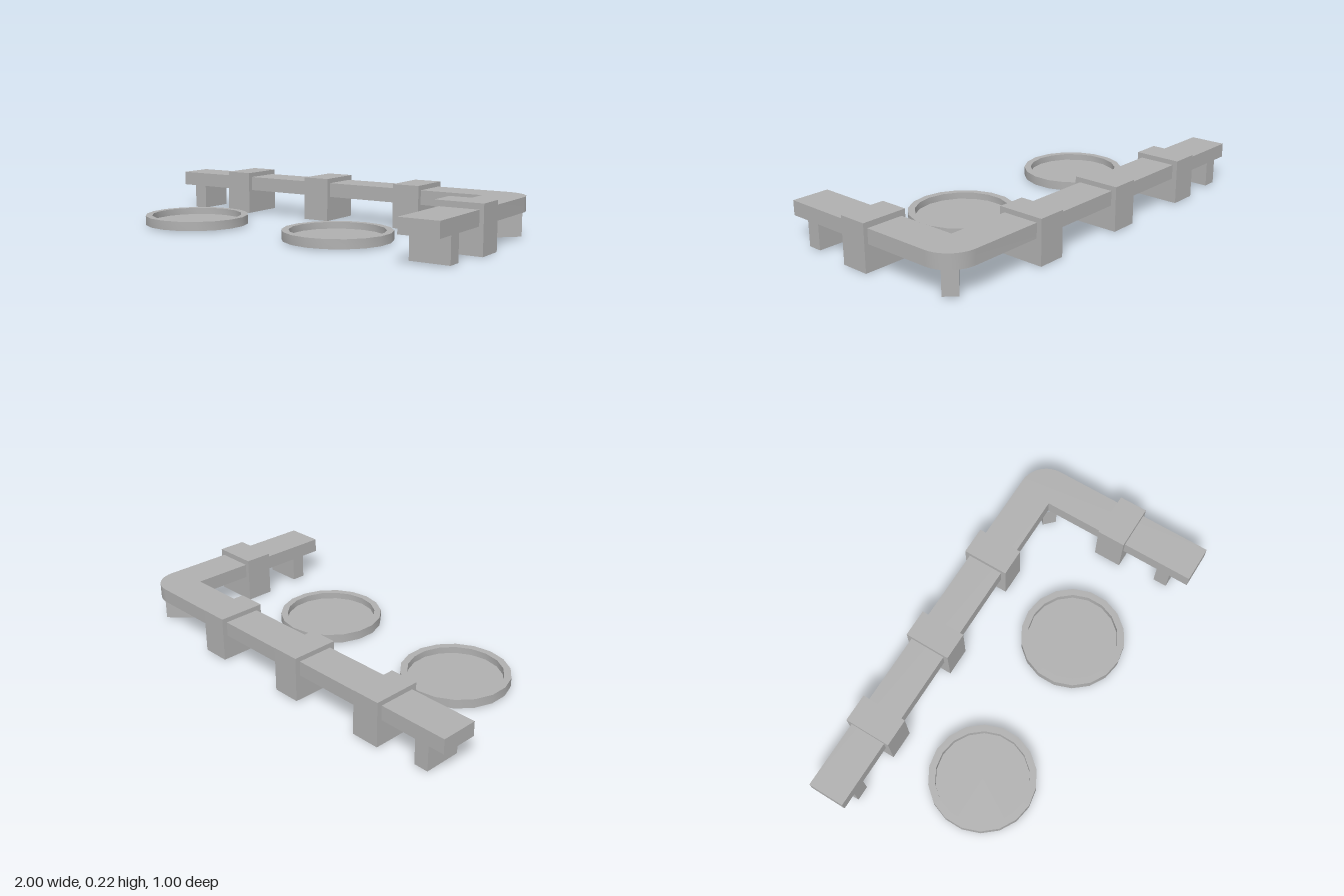
import * as THREE from 'three';
import { toCreasedNormals } from 'three/addons/utils/BufferGeometryUtils.js';

const grey = new THREE.MeshStandardMaterial({ color: 0xb0b0b0, side: THREE.DoubleSide });
grey.name = 'stone grey';

function createModel() {
  const model = new THREE.Group();
  const add = (name, geometry, x = 0, y = 0, z = 0) => {
    const mesh = new THREE.Mesh(geometry, grey);
    mesh.name = name;
    mesh.position.set(x, y, z);
    model.add(mesh);
    return mesh;
  };
  // Box given by its limits on each axis
  const box = (name, x0, x1, y0, y1, z0, z1) =>
    add(name, new THREE.BoxGeometry(x1 - x0, y1 - y0, z1 - z0),
      (x0 + x1) / 2, (y0 + y1) / 2, (z0 + z1) / 2);

  // L-shaped bench top with a rounded outer corner
  const plan = new THREE.Shape();
  plan.moveTo(-1, -0.475);
  plan.lineTo(0.84, -0.475);
  plan.absarc(0.84, -0.335, 0.14, -Math.PI / 2, 0, false);
  plan.lineTo(0.98, 0.5);
  plan.lineTo(0.795, 0.5);
  plan.lineTo(0.795, -0.295);
  plan.lineTo(-1, -0.295);
  plan.closePath();
  const slab = new THREE.ExtrudeGeometry(plan, { depth: 0.07, bevelEnabled: false, curveSegments: 8 });
  slab.rotateX(Math.PI / 2);
  add('benchTop', toCreasedNormals(slab, 0.6), 0, 0.196, 0);

  // Blocks wrapped around the bench
  for (const x of [-0.598, -0.102, 0.412])
    box('backBlock', x - 0.069, x + 0.069, 0.005, 0.219, -0.5, -0.27);
  box('sideBlock', 0.774, 1, 0, 0.223, 0.002, 0.143);

  // Plate legs with open ends
  const leg = (name, length, x, z, turn) => {
    const g = new THREE.BoxGeometry(length, 0.121, 0.07);
    g.setIndex([...g.index.array].filter((_, i) => i < 12 || i >= 24));
    add(name, g, x, 0.0655, z).rotation.y = turn;
  };
  leg('backLeg', 0.18, -0.887, -0.385, Math.PI / 2);
  leg('sideLeg', 0.185, 0.8875, 0.367, 0);
  leg('cornerLeg', 0.19, 0.86, -0.35, Math.PI / 4);

  // Shallow round dishes, hollow under the rim
  const rim = [[0.222, 0.018], [0.222, 0.05], [0.255, 0.05], [0.255, 0.006]]
    .map(([r, y]) => new THREE.Vector2(r, y)).reverse();
  const rimGeometry = toCreasedNormals(new THREE.LatheGeometry(rim, 18), 0.7);
  const floorGeometry = new THREE.CircleGeometry(0.238, 18).rotateX(-Math.PI / 2);
  for (const x of [-0.535, 0.295]) {
    add('dishRim', rimGeometry, x, 0, 0.148);
    add('dishFloor', floorGeometry, x, 0.018, 0.148);
  }
  return model;
}

export { createModel };
